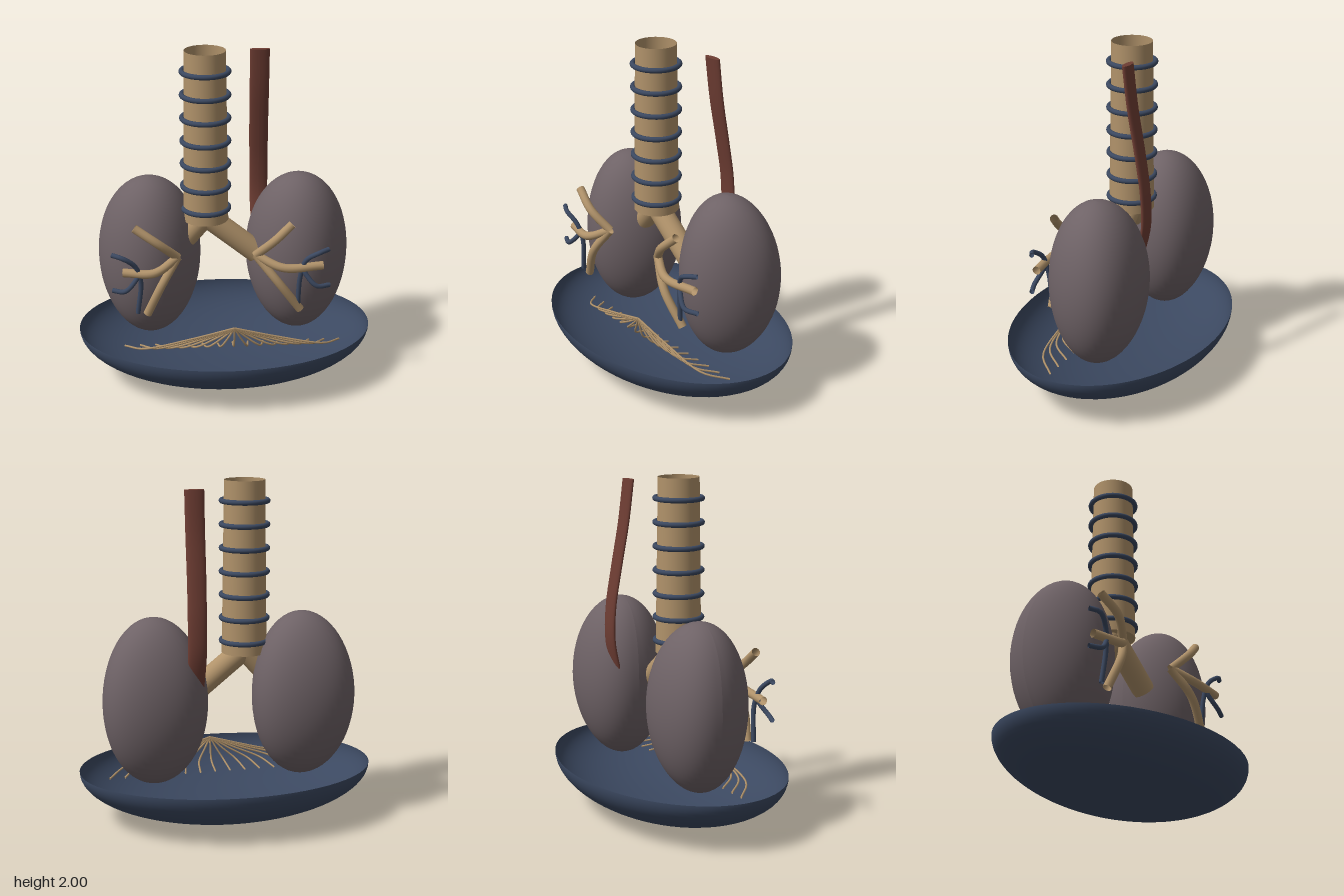
import * as THREE from 'three';

const mat = (name, color, side = THREE.DoubleSide) => {
  const m = new THREE.MeshStandardMaterial({ color, side });
  m.name = name;
  return m;
};

export function createModel() {
  const tan = mat('airway tan', 0xb0926a);
  const navy = mat('slate blue', 0x3b4860);
  const grey = mat('lung grey', 0x6e6266);
  const brown = mat('oesophagus brown', 0x6e3d33);

  const model = new THREE.Group();
  model.name = 'respiratoryModel';
  const add = (name, geometry, material, parent = model) => {
    const mesh = new THREE.Mesh(geometry, material);
    mesh.name = name;
    parent.add(mesh);
    return mesh;
  };
  const group = (name) => {
    const g = new THREE.Group();
    g.name = name;
    model.add(g);
    return g;
  };
  const tube = (name, points, radius, material, parent, sides = 12) => {
    const curve = new THREE.CatmullRomCurve3(points.map((p) => new THREE.Vector3(...p)));
    return add(name, new THREE.TubeGeometry(curve, 20, radius, sides), material, parent);
  };

  // Diaphragm: open half-ellipsoid bowl
  const bowl = new THREE.SphereGeometry(1, 64, 24, 0, Math.PI * 2, Math.PI / 2, Math.PI / 2);
  bowl.scale(0.873, 0.305, 0.613);
  bowl.translate(0, 0.305, 0);
  add('diaphragm', bowl, navy);

  // Lungs: ellipsoids whose sides bend backwards
  for (const [name, side] of [['rightLung', -1], ['leftLung', 1]]) {
    const lung = new THREE.SphereGeometry(1, 48, 32);
    const p = lung.attributes.position;
    for (let i = 0; i < p.count; i++) {
      const x = p.getX(i), y = p.getY(i), z = p.getZ(i);
      p.setXYZ(i, x * 0.304, y * 0.493, z * 0.278 - 0.05 * x * x);
    }
    lung.computeVertexNormals();
    lung.translate(0.441 * side, 0.742, -0.068);
    add(name, lung, grey);
  }

  // Trachea: open at the top, closed below, with cartilage rings
  const trachea = group('trachea');
  add('tracheaWall', new THREE.CylinderGeometry(0.118, 0.132, 1.01, 40, 1, true), tan, trachea)
    .position.set(-0.11, 1.495, 0);
  const floor = add('tracheaFloor', new THREE.CircleGeometry(0.131, 40), tan, trachea);
  floor.rotation.x = -Math.PI / 2;
  floor.position.set(-0.11, 0.992, 0);
  for (let i = 0; i < 7; i++) {
    const ring = add('cartilageRing', new THREE.TorusGeometry(0.134, 0.015, 12, 48), navy, trachea);
    ring.rotation.x = Math.PI / 2;
    ring.position.set(-0.11, 1.88 - i * 0.1365, 0);
  }

  // Main bronchi
  const bronchi = group('bronchi');
  tube('leftBronchus', [[-0.1, 1.0, 0], [0.03, 0.895, 0], [0.19, 0.765, 0]], 0.067, tan, bronchi, 24);
  tube('rightBronchus', [[-0.12, 1.0, 0], [-0.19, 0.92, 0], [-0.26, 0.84, 0]], 0.067, tan, bronchi, 24);

  // Bronchial branches in front of each lung
  const branches = group('bronchialBranches');
  const branchPaths = [
    [[0.165, 0.84, 0.215], [0.27, 0.95, 0.27], [0.37, 1.04, 0.25]],
    [[0.165, 0.84, 0.215], [0.32, 0.785, 0.285], [0.55, 0.785, 0.265]],
    [[0.165, 0.84, 0.215], [0.29, 0.69, 0.27], [0.425, 0.5, 0.245]],
    [[-0.285, 0.84, 0.215], [-0.4, 0.95, 0.27], [-0.53, 1.04, 0.25]],
    [[-0.285, 0.84, 0.215], [-0.42, 0.775, 0.285], [-0.6, 0.77, 0.255]],
    [[-0.285, 0.84, 0.215], [-0.38, 0.69, 0.27], [-0.465, 0.5, 0.245]],
  ];
  for (const path of branchPaths) tube('bronchialBranch', path, 0.025, tan, branches);

  // Blood vessels
  const vessels = group('bloodVessels');
  const vesselPaths = [
    [[0.58, 0.89, 0.275], [0.52, 0.88, 0.305], [0.45, 0.83, 0.285], [0.42, 0.72, 0.265], [0.41, 0.51, 0.25]],
    [[0.59, 0.665, 0.275], [0.51, 0.675, 0.305], [0.45, 0.74, 0.285], [0.43, 0.78, 0.27]],
    [[-0.66, 0.89, 0.275], [-0.6, 0.88, 0.305], [-0.53, 0.82, 0.285], [-0.5, 0.72, 0.265], [-0.52, 0.51, 0.25]],
    [[-0.66, 0.67, 0.275], [-0.59, 0.675, 0.305], [-0.53, 0.73, 0.285], [-0.5, 0.78, 0.27]],
  ];
  for (const path of vesselPaths) tube('bloodVessel', path, 0.014, navy, vessels);

  // Nerve fan: threads drop from one apex, then run back inside the bowl
  const nerves = group('nerveFan');
  for (let i = -7; i <= 7; i++) {
    const x = i * 0.092;
    tube('nerve', [
      [0.04, 0.395, 0.262],
      [0.04 + x * 0.4, 0.325, 0.25],
      [0.04 + x * 0.82, 0.26, 0.225],
      [0.04 + x, 0.225, 0.11],
    ], 0.006, tan, nerves, 6);
  }

  // Oesophagus: flattened tube bent along a curve in z
  const top = 1.965, bottom = 0.75;
  const bend = new THREE.CatmullRomCurve3([
    [0.212, top, -0.14], [0.214, 1.72, -0.172], [0.217, 1.45, -0.222],
    [0.222, 1.22, -0.258], [0.224, 1.02, -0.262], [0.235, bottom, -0.2],
  ].map((p) => new THREE.Vector3(...p)));
  const gullet = new THREE.CylinderGeometry(0.057, 0.053, 1, 28, 28, true);
  const gp = gullet.attributes.position;
  for (let i = 0; i < gp.count; i++) {
    const c = bend.getPoint(0.5 - gp.getY(i));
    gp.setXYZ(i, c.x + gp.getX(i), c.y, c.z + gp.getZ(i) * 0.34);
  }
  gullet.computeVertexNormals();
  add('oesophagus', gullet, brown);
  const cap = add('oesophagusTop', new THREE.CircleGeometry(0.057, 28), brown);
  cap.rotation.x = -Math.PI / 2;
  cap.scale.y = 0.34;
  cap.position.set(0.212, top, -0.14);

  return model;
}
